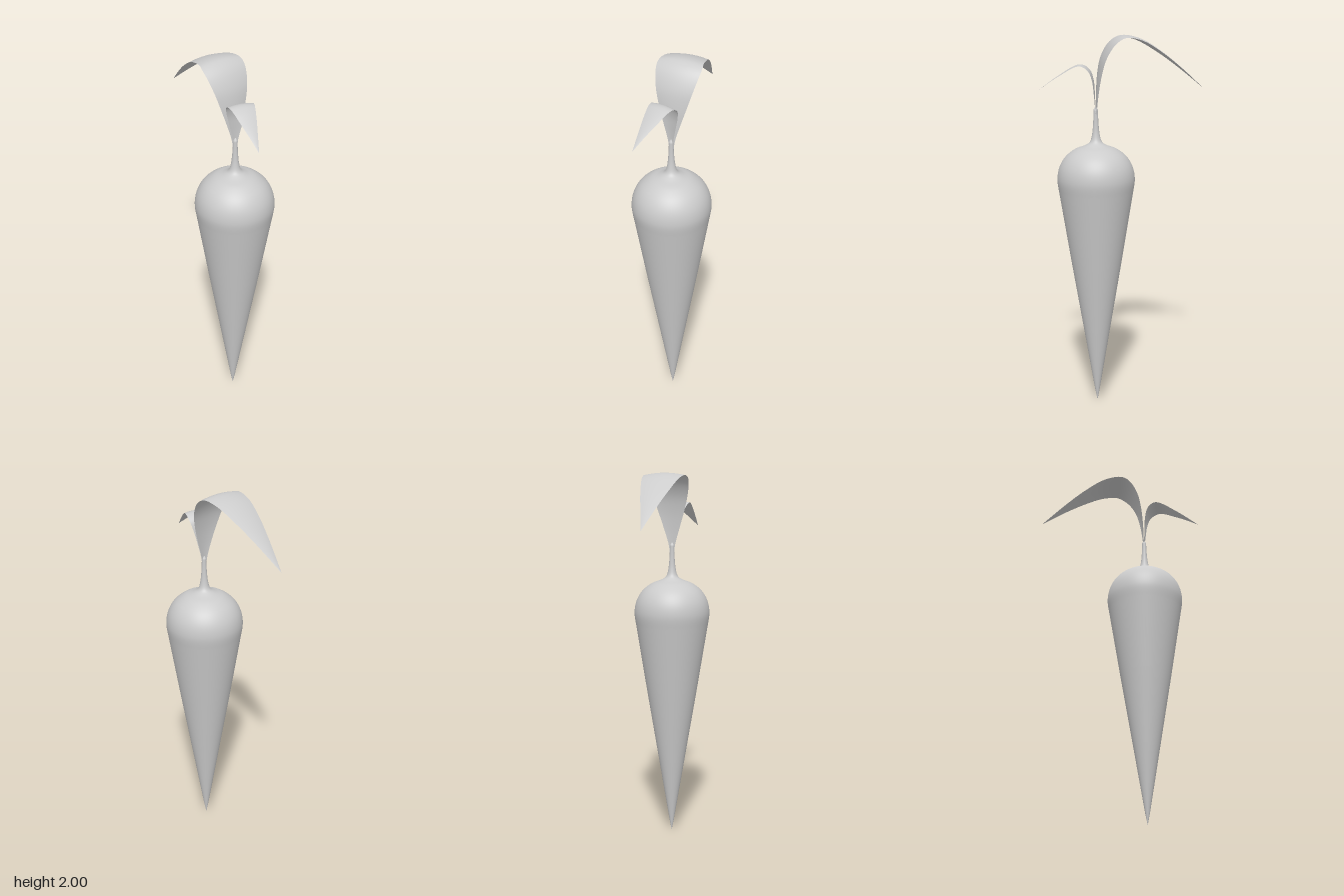
import * as THREE from 'three';

const material = new THREE.MeshStandardMaterial({ color: 0xcccccc, side: THREE.DoubleSide });
const AXIS_Z = 0.14; // the root and stem stand forward of the centre

// Root and stem in one smooth turned profile
function makeRoot() {
  const shoulder = new THREE.SplineCurve([
    [0.196, 1.18], [0.205, 1.25], [0.194, 1.315], [0.162, 1.37], [0.112, 1.41],
    [0.06, 1.43], [0.032, 1.45], [0.02, 1.49], [0.014, 1.55], [0.011, 1.62],
  ].map(([r, y]) => new THREE.Vector2(r, y)));
  const profile = [
    new THREE.Vector2(0, 0), new THREE.Vector2(0.012, 0.06), new THREE.Vector2(0.07, 0.41),
    new THREE.Vector2(0.135, 0.8), ...shoulder.getPoints(50), new THREE.Vector2(0, 1.635),
  ];
  const root = new THREE.Mesh(new THREE.LatheGeometry(profile, 64), material);
  root.name = 'rootAndStem';
  return root;
}

// Leaf swept along a spine; each station is [half width, height, reach from the stem]
function makeLeaf(name, stations, turn, rows = 48, cols = 10) {
  const spine = new THREE.CatmullRomCurve3(stations.map((s) => new THREE.Vector3(...s)), false, 'centripetal');
  const positions = [];
  const index = [];
  for (let i = 0; i <= rows; i++) {
    const t = i / rows;
    const p = spine.getPoint(t);
    const d = spine.getTangent(t);
    const len = Math.hypot(d.y, d.z);
    const half = Math.max(p.x, 0);
    for (let j = 0; j <= cols; j++) {
      const u = (j / cols) * 2 - 1;
      const sag = 0.11 * half * u * u; // edges cup slightly inwards
      positions.push(half * u, p.y - (sag * d.z) / len, p.z + (sag * d.y) / len);
      if (i < rows && j < cols) {
        const a = i * (cols + 1) + j;
        const b = a + cols + 1;
        index.push(a, b, a + 1, b, b + 1, a + 1);
      }
    }
  }
  const geometry = new THREE.BufferGeometry();
  geometry.setAttribute('position', new THREE.Float32BufferAttribute(positions, 3));
  geometry.setIndex(index);
  geometry.computeVertexNormals();
  const leaf = new THREE.Mesh(geometry, material);
  leaf.name = name;
  leaf.rotation.y = turn;
  return leaf;
}

export function createModel() {
  const model = new THREE.Group();
  model.name = 'carrot';

  const largeLeaf = makeLeaf('largeLeaf', [
    [0.01, 1.55, 0], [0.018, 1.62, 0.002], [0.044, 1.71, 0.005], [0.072, 1.8, 0.013],
    [0.094, 1.88, 0.03], [0.11, 1.95, 0.066], [0.115, 1.985, 0.103], [0.11, 2, 0.145],
    [0.099, 1.982, 0.235], [0.075, 1.92, 0.34], [0.042, 1.835, 0.45], [0, 1.72, 0.58],
  ], Math.PI);

  const smallLeaf = makeLeaf('smallLeaf', [
    [0.009, 1.55, 0], [0.014, 1.62, 0.001], [0.032, 1.7, 0.004], [0.05, 1.77, 0.01],
    [0.062, 1.82, 0.027], [0.066, 1.847, 0.06], [0.062, 1.85, 0.09], [0.054, 1.836, 0.125],
    [0.042, 1.808, 0.17], [0.022, 1.765, 0.235], [0, 1.71, 0.308],
  ], -0.235);

  model.add(makeRoot(), largeLeaf, smallLeaf);
  model.position.z = AXIS_Z;
  const group = new THREE.Group();
  group.add(model);
  return group;
}
